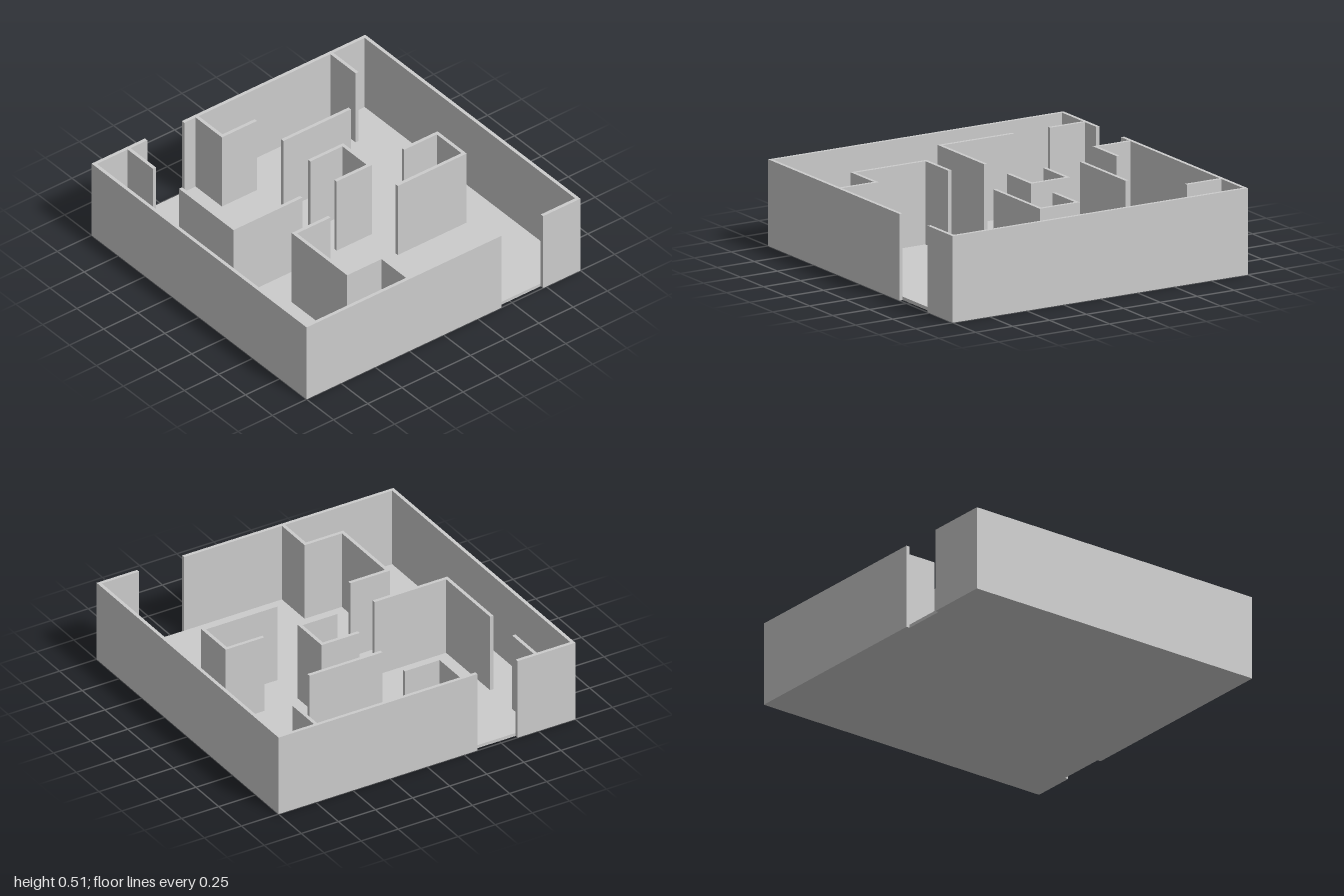
import * as THREE from 'three';

const HEIGHT = 0.515;  // top of every wall
const FLOOR = 0.02;    // floor thickness
const T = 0.022;       // wall thickness
const EDGE = 1 - T / 2; // centre line of the outer walls
const IN = 1 - T;      // inner face of the outer walls

const material = new THREE.MeshStandardMaterial({ color: 0xcccccc });

// A wall of constant thickness along a right-angled [x, z] centre line, with mitred corners
function wall(name, path, bottom) {
  const pts = path.map(([x, z]) => new THREE.Vector2(x, -z));
  const normals = pts.slice(1).map((p, i) => {
    const d = p.clone().sub(pts[i]).normalize();
    return new THREE.Vector2(-d.y, d.x);
  });
  const side = (s) => pts.map((p, i) => {
    const offset = new THREE.Vector2();
    if (i > 0) offset.add(normals[i - 1]);
    if (i < normals.length) offset.add(normals[i]);
    return p.clone().addScaledVector(offset, s * T / 2);
  });
  const outline = new THREE.Shape([...side(1), ...side(-1).reverse()]);
  const geometry = new THREE.ExtrudeGeometry(outline, { depth: HEIGHT - bottom, bevelEnabled: false });
  geometry.rotateX(-Math.PI / 2);
  const mesh = new THREE.Mesh(geometry, material);
  mesh.name = name;
  mesh.position.y = bottom;
  return mesh;
}

export function createModel() {
  const model = new THREE.Group();
  model.name = 'walledMaze';

  // Floor slab, fitted between the outer walls
  const floor = new THREE.Mesh(new THREE.BoxGeometry(2 * IN, FLOOR, 2 * IN), material);
  floor.name = 'floor';
  floor.position.y = FLOOR / 2;
  model.add(floor);

  // Outer walls, leaving a doorway at the front and one at the back
  model.add(
    wall('outerWallRight', [[0.423, EDGE], [-EDGE, EDGE], [-EDGE, -EDGE], [-0.61, -EDGE]], 0),
    wall('outerWallLeft', [[-0.34, -EDGE], [EDGE, -EDGE], [EDGE, EDGE], [0.727, EDGE]], 0),
  );

  // Inner partitions
  const partitions = {
    backRightStub: [[-0.743, -IN], [-0.743, -0.743]],
    backMiddleHook: [[-0.246, -IN], [-0.246, -0.745], [0, -0.745]],
    backLeftStub: [[0.738, -IN], [0.738, -0.743]],
    straightPartition: [[0, -0.5], [0.493, -0.5]],
    rightCorner: [[-0.743, -0.5], [-0.743, -0.005], [-0.25, -0.005]],
    centreBay: [[0, -0.25], [0.246, -0.25], [0.246, -0.005], [0, -0.005]],
    leftBay: [[0.493, -0.005], [0.743, -0.005], [0.743, 0.245], [0.25, 0.245]],
    frontZigzag: [[-0.24, 0.245], [-0.497, 0.245], [-0.497, 0.739], [-0.246, 0.739], [-0.246, IN]],
  };
  for (const [name, path] of Object.entries(partitions)) model.add(wall(name, path, FLOOR));

  return model;
}
